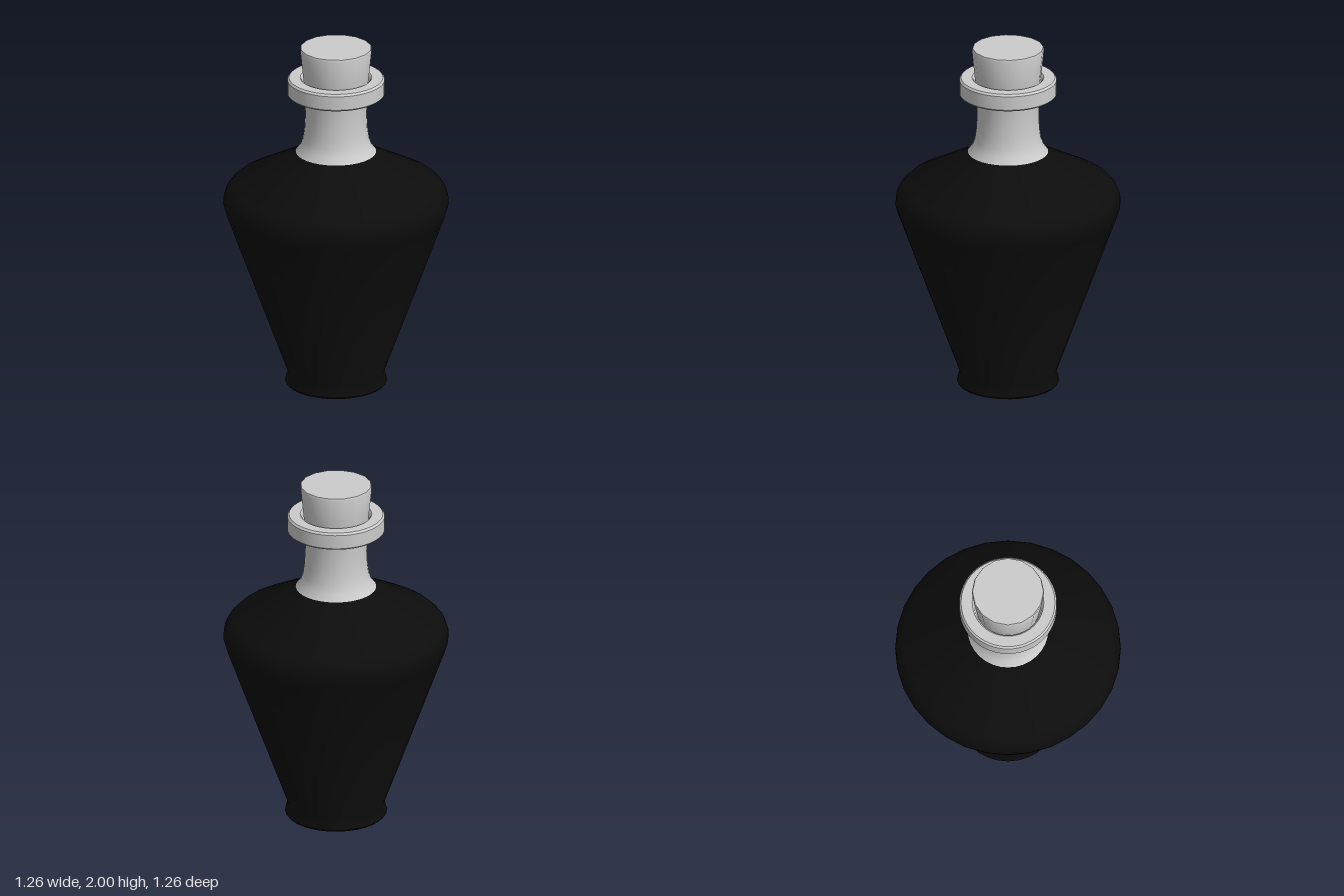
import * as THREE from 'three';
import { toCreasedNormals } from 'three/addons/utils/BufferGeometryUtils.js';

// Turn a [radius, height] profile, listed from the bottom outside up, into a named mesh
function turned(name, profile, sides, color) {
  const points = profile.map(([r, y]) => new THREE.Vector2(r, y));
  const geometry = toCreasedNormals(new THREE.LatheGeometry(points, sides), 0.65);
  const mesh = new THREE.Mesh(
    geometry,
    new THREE.MeshStandardMaterial({ color, side: THREE.DoubleSide })
  );
  mesh.name = name;
  return mesh;
}

export function createModel() {
  const bottle = new THREE.Group();
  bottle.name = 'bottle';

  // Dark tapering body with a flared foot and rounded shoulder
  bottle.add(turned('body', [
    [0, 0], [0.275, 0], [0.285, 0.012], [0.27, 0.07],
    [0.615, 1.02], [0.63, 1.07], [0.627, 1.11], [0.613, 1.145], [0.58, 1.18],
    [0.27, 1.345], [0.225, 1.38],
  ], 32, 0x0c0c0c));

  // Neck flowing out of the shoulder
  bottle.add(turned('neck', [
    [0.225, 1.38], [0.2, 1.415], [0.185, 1.46], [0.177, 1.52],
    [0.173, 1.6], [0.175, 1.68], [0.18, 1.725],
  ], 32, 0xcccccc));

  // Lip ring, open in the middle for the cork
  bottle.add(turned('lip', [
    [0.175, 1.72], [0.262, 1.72], [0.272, 1.73], [0.272, 1.81],
    [0.262, 1.822], [0.2, 1.822], [0.19, 1.812], [0.175, 1.74],
  ], 48, 0xcccccc));

  // Tapered cork
  bottle.add(turned('cork', [
    [0, 1.7], [0.17, 1.7], [0.185, 1.82], [0.202, 1.985], [0.198, 2], [0, 2],
  ], 16, 0xcccccc));

  return bottle;
}
